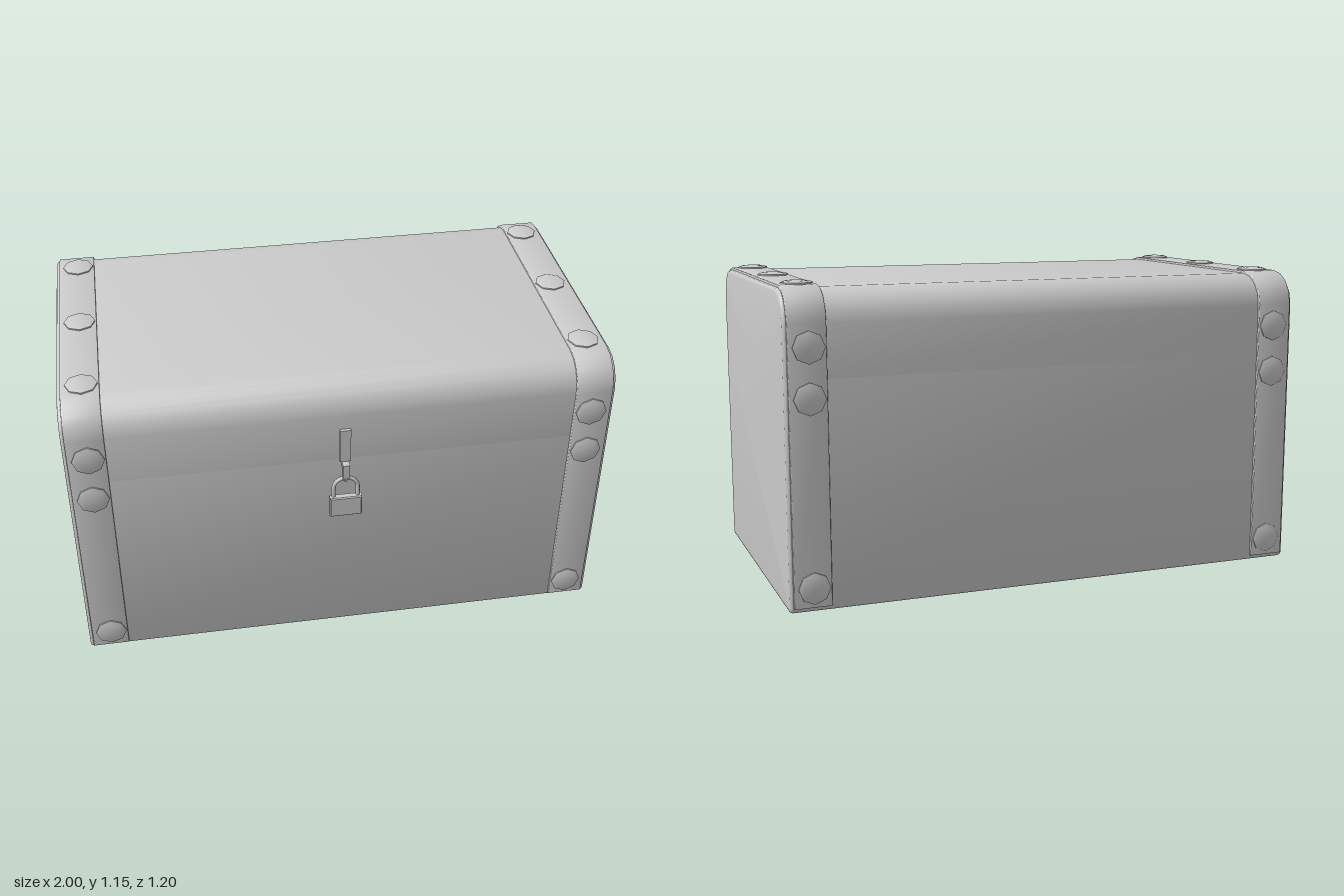
import * as THREE from 'three';
import { toCreasedNormals } from 'three/addons/utils/BufferGeometryUtils.js';

const grey = new THREE.MeshStandardMaterial({ color: 0xcccccc });
const SEAM = 0.825, BEVEL = 0.012, MID_Z = -0.01;
const BODY = 0.568, BAND = 0.577, TOP = 1.142;

function part(parent, name, geometry, x = 0, y = 0, z = 0) {
  const mesh = new THREE.Mesh(geometry, grey);
  mesh.name = name;
  mesh.position.set(x, y, z);
  parent.add(mesh);
  return mesh;
}

// End profile of the chest: rounded bottom and top corners (radius 0 = square)
function profile(half, y0, y1, rBottom, rTop) {
  const s = new THREE.Shape();
  const corner = (x, y, r, start) => {
    if (r > 0) s.absarc(x, y, r, start, start + Math.PI / 2, false);
    else s.lineTo(x, y);
  };
  s.moveTo(0, y0);
  corner(half - rBottom, y0 + rBottom, rBottom, -Math.PI / 2);
  corner(half - rTop, y1 - rTop, rTop, 0);
  corner(-half + rTop, y1 - rTop, rTop, Math.PI / 2);
  corner(-half + rBottom, y0 + rBottom, rBottom, Math.PI);
  s.closePath();
  return s;
}

// Extrudes a profile along x, keeping the vertices between two heights
function extrudeX(shape, length, bevel, minY = -Infinity, maxY = Infinity) {
  const g = new THREE.ExtrudeGeometry(shape, {
    depth: length - 2 * bevel, curveSegments: 2, bevelEnabled: true,
    bevelThickness: bevel, bevelSize: bevel, bevelOffset: -bevel, bevelSegments: 3,
  });
  g.translate(0, 0, bevel - length / 2).rotateY(Math.PI / 2);
  const p = g.attributes.position;
  for (let i = 0; i < p.count; i++) p.setY(i, THREE.MathUtils.clamp(p.getY(i), minY, maxY));
  return toCreasedNormals(g, 0.65);
}

export function createModel() {
  const chest = new THREE.Group();
  chest.name = 'chest';

  // Box and lid meet flush at the seam
  const base = profile(BODY, 0, SEAM + BEVEL, 0.02, 0);
  part(chest, 'base', extrudeX(base, 2, BEVEL, 0, SEAM), 0, 0, MID_Z);
  const lid = profile(BODY, SEAM - BEVEL, 1.133, 0, 0.115);
  part(chest, 'lid', extrudeX(lid, 2, BEVEL, SEAM, 2), 0, 0, MID_Z);

  // Straps near both ends, each with studs on front, back and top
  const strap = extrudeX(profile(BAND, 0.02, TOP, 0, 0.12), 0.137, 0.003);
  const studProfile = [[0.058, -0.004], [0.058, 0.005], [0.042, 0.01], [0, 0.013]]
    .map(([r, y]) => new THREE.Vector2(r, y));
  const stud = toCreasedNormals(new THREE.LatheGeometry(studProfile, 8), 0.85);
  for (const side of [-1, 1]) {
    part(chest, 'strap', strap, side * 0.9185, 0, MID_Z);
    const x = side * 0.913;
    for (const z of [-0.42, -0.012, 0.395]) part(chest, 'topStud', stud, x, TOP, z);
    for (const y of [0.09, 0.76, 0.938]) {
      for (const face of [-1, 1]) {
        const m = part(chest, face > 0 ? 'frontStud' : 'backStud', stud, x, y, MID_Z + face * BAND);
        m.rotation.x = face * Math.PI / 2;
      }
    }
  }

  // Hasp: plate on the lid, hanging tongue and the staple it closes over
  const lock = new THREE.Group();
  lock.name = 'lock';
  chest.add(lock);
  part(lock, 'haspPlate', new THREE.BoxGeometry(0.04, 0.14, 0.02), 0, 0.89, 0.56);
  const tongue = new THREE.Shape();
  [[0.55, 0.82], [0.597, 0.82], [0.597, 0.765], [0.586, 0.745], [0.575, 0.745], [0.575, 0.8], [0.55, 0.8]]
    .forEach(([z, y], i) => (i ? tongue.lineTo(-z, y) : tongue.moveTo(-z, y)));
  const tongueGeometry = new THREE.ExtrudeGeometry(tongue, { depth: 0.026, bevelEnabled: false });
  tongueGeometry.translate(0, 0, -0.013).rotateY(Math.PI / 2);
  part(lock, 'haspTongue', tongueGeometry);
  const staple = part(lock, 'staple', new THREE.TorusGeometry(0.022, 0.005, 6, 12), 0, 0.755, 0.567);
  staple.rotation.y = Math.PI / 2;

  // Padlock: bevelled case with a bent-rod shackle
  const half = 0.06;
  const outline = new THREE.Shape();
  outline.moveTo(-half, 0.585).lineTo(half, 0.585).lineTo(half, 0.672).lineTo(-half, 0.672).closePath();
  const caseGeometry = new THREE.ExtrudeGeometry(outline, {
    depth: 0.02, bevelThickness: 0.004, bevelSize: 0.004, bevelOffset: -0.004, bevelSegments: 1,
  });
  part(lock, 'padlockCase', caseGeometry, 0, 0, 0.576);
  const path = [new THREE.Vector3(-0.045, 0.665, 0.582)];
  for (let i = 0; i <= 8; i++) {
    const a = Math.PI * (1 - i / 8);
    path.push(new THREE.Vector3(0.045 * Math.cos(a), 0.71 + 0.045 * Math.sin(a), 0.582));
  }
  path.push(new THREE.Vector3(0.045, 0.665, 0.582));
  part(lock, 'shackle', new THREE.TubeGeometry(new THREE.CatmullRomCurve3(path), 24, 0.008, 8));

  return chest;
}
